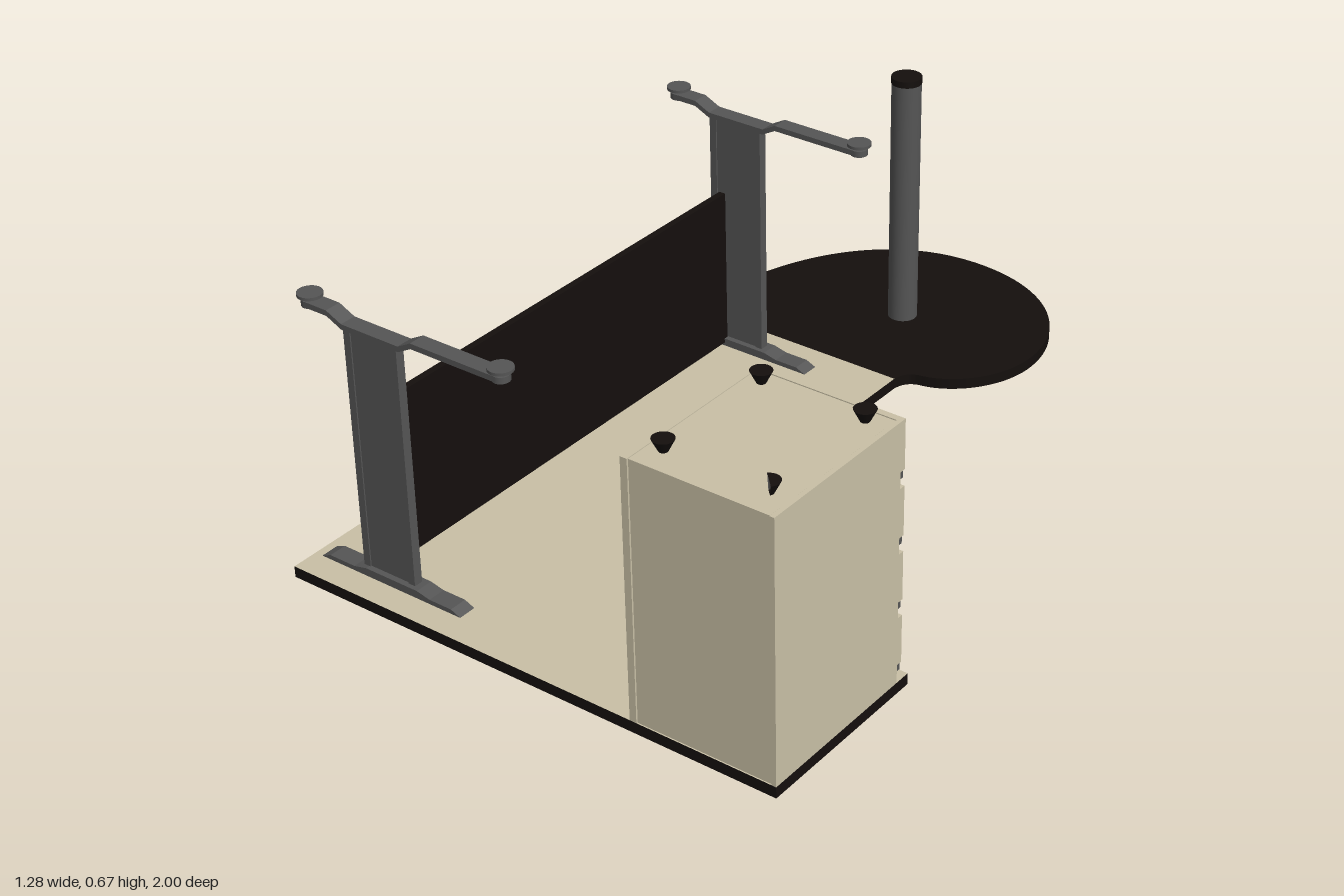
import * as THREE from 'three';
import { toCreasedNormals } from 'three/addons/utils/BufferGeometryUtils.js';

const mat = (color) => new THREE.MeshStandardMaterial({ color });
const cream = mat(0xc9c0a6), black = mat(0x140f0d), grey = mat(0x555555);
const T = 0.027; // board thickness

function add(parent, name, geometry, material, x = 0, y = 0, z = 0) {
  const mesh = new THREE.Mesh(geometry, material);
  mesh.name = name;
  mesh.position.set(x, y, z);
  parent.add(mesh);
  return mesh;
}

// Box given by its extents
function box(parent, name, material, x0, x1, y0, y1, z0, z1) {
  return add(parent, name, new THREE.BoxGeometry(x1 - x0, y1 - y0, z1 - z0), material,
    (x0 + x1) / 2, (y0 + y1) / 2, (z0 + z1) / 2);
}

// Flat board from a plan outline (shape y becomes z), standing on y = 0
function board(shape) {
  const g = new THREE.ExtrudeGeometry(shape, { depth: T, bevelEnabled: false, curveSegments: 24 });
  g.rotateX(Math.PI / 2).translate(0, T, 0);
  return toCreasedNormals(g, 0.5);
}

// Side profile in x and y, given a width in z and centred on z = 0
function bar(points, width) {
  const shape = new THREE.Shape(points.map(([x, y]) => new THREE.Vector2(x, y)));
  return new THREE.ExtrudeGeometry(shape, { depth: width, bevelEnabled: false }).translate(0, 0, -width / 2);
}

function makeTops(root) {
  // L-shaped worktop with an inner curve
  const main = new THREE.Shape();
  main.moveTo(-0.64, -0.4);
  main.lineTo(-0.04, -0.4);
  main.lineTo(-0.04, 0.21);
  main.bezierCurveTo(-0.04, 0.396, 0.108, 0.547, 0.29, 0.547);
  main.lineTo(0.64, 0.55);
  main.lineTo(0.64, 1);
  main.lineTo(-0.64, 1);
  main.closePath();
  add(root, 'worktop', board(main), [cream, black]);

  // Rounded meeting extension
  const round = new THREE.Shape();
  round.moveTo(-0.64, -0.4);
  round.bezierCurveTo(-0.64, -0.72, -0.48, -1, -0.2, -1);
  round.bezierCurveTo(0.02, -1, 0.17, -0.85, 0.17, -0.675);
  round.bezierCurveTo(0.17, -0.55, 0.08, -0.46, 0, -0.448);
  round.quadraticCurveTo(-0.035, -0.44, -0.04, -0.4);
  round.closePath();
  add(root, 'roundedExtension', board(round), black);
}

function makeLeg(root, name, z) {
  const leg = new THREE.Group();
  leg.name = name;
  leg.position.z = z;
  root.add(leg);

  // Mounting bar against the worktop
  add(leg, 'mountingBar', bar([[-0.62, T], [-0.225, T], [-0.25, 0.038], [-0.31, 0.038], [-0.345, 0.046],
    [-0.49, 0.046], [-0.525, 0.038], [-0.595, 0.038]], 0.044), grey);

  // Flat column with raised edge strips
  box(leg, 'column', grey, -0.505, -0.36, 0.045, 0.632, -0.008, 0.008);
  for (const x of [-0.505, -0.378])
    box(leg, 'columnEdge', grey, x, x + 0.018, 0.045, 0.632, -0.011, 0.011);

  // Cranked foot bar with rounded ends
  const line = [[-0.603, 0.645], [-0.54, 0.645], [-0.5, 0.626], [-0.345, 0.626], [-0.31, 0.645], [-0.088, 0.645]];
  const upper = line.map(([x, y]) => [x, y + 0.013]).reverse();
  add(leg, 'footBar', bar([...line, ...upper], 0.04), grey);
  for (const x of [-0.603, -0.088]) {
    add(leg, 'footBarEnd', new THREE.CylinderGeometry(0.02, 0.02, 0.015, 24), grey, x, 0.65, 0);
    add(leg, 'glideStem', new THREE.CylinderGeometry(0.009, 0.012, 0.01, 16), grey, x, 0.661, 0);
    add(leg, 'glideDisc', new THREE.CylinderGeometry(0.028, 0.028, 0.007, 28), grey, x, 0.6685, 0);
  }
}

function makePost(root) {
  add(root, 'roundPost', new THREE.CylinderGeometry(0.036, 0.036, 0.63, 32), grey, -0.2, T + 0.315, -0.67);
  add(root, 'postCap', new THREE.CylinderGeometry(0.037, 0.037, 0.016, 32), black, -0.2, 0.664, -0.67);
}

function makePedestal(root) {
  const cab = new THREE.Group();
  cab.name = 'drawerPedestal';
  root.add(cab);
  const x0 = 0.28, x1 = 0.64, top = 0.645;

  // Carcass between two side panels
  box(cab, 'carcass', cream, x0 + 0.018, x1 - 0.012, T, top - 0.001, 0.592, 0.997);
  box(cab, 'sidePanel', cream, x0, x0 + 0.017, T, top, 0.59, 1);
  box(cab, 'sidePanel', cream, x1 - 0.011, x1, T, top, 0.59, 1);

  // Drawer fronts, each with a recessed grip channel below
  for (let i = 0; i < 4; i++) {
    const y = top - i * 0.153;
    box(cab, 'drawerFront', cream, x0, x1, y - 0.115, y, 0.575, 0.59);
    box(cab, 'gripChannel', grey, x0 + 0.002, x1 - 0.002, y - 0.152, y - 0.116, 0.587, 0.592);
    box(cab, 'gripLip', grey, x0 + 0.002, x1 - 0.002, y - 0.133, y - 0.116, 0.578, 0.587);
  }
  const lock = add(cab, 'lock', new THREE.CylinderGeometry(0.008, 0.008, 0.006, 16), grey, 0.585, 0.1, 0.574);
  lock.rotation.x = Math.PI / 2;

  // Tapered feet, the last one cut in half
  for (const [x, z, half] of [[0.335, 0.628], [0.582, 0.628], [0.335, 0.937], [0.582, 0.937, true]]) {
    const g = half
      ? new THREE.CylinderGeometry(0.024, 0.01, 0.028, 12, 1, false, Math.PI / 4, Math.PI)
      : new THREE.CylinderGeometry(0.024, 0.01, 0.028, 24);
    const m = black.clone();
    if (half) m.side = THREE.DoubleSide;
    add(cab, 'pedestalFoot', g, m, x, 0.659, z);
  }
}

export function createModel() {
  const root = new THREE.Group();
  root.name = 'upturnedDesk';
  makeTops(root);
  makeLeg(root, 'backLeg', -0.313);
  makeLeg(root, 'frontLeg', 0.913);
  box(root, 'modestyPanel', black, -0.48, -0.463, 0.035, 0.435, -0.302, 0.902);
  makePost(root);
  makePedestal(root);
  return root;
}
